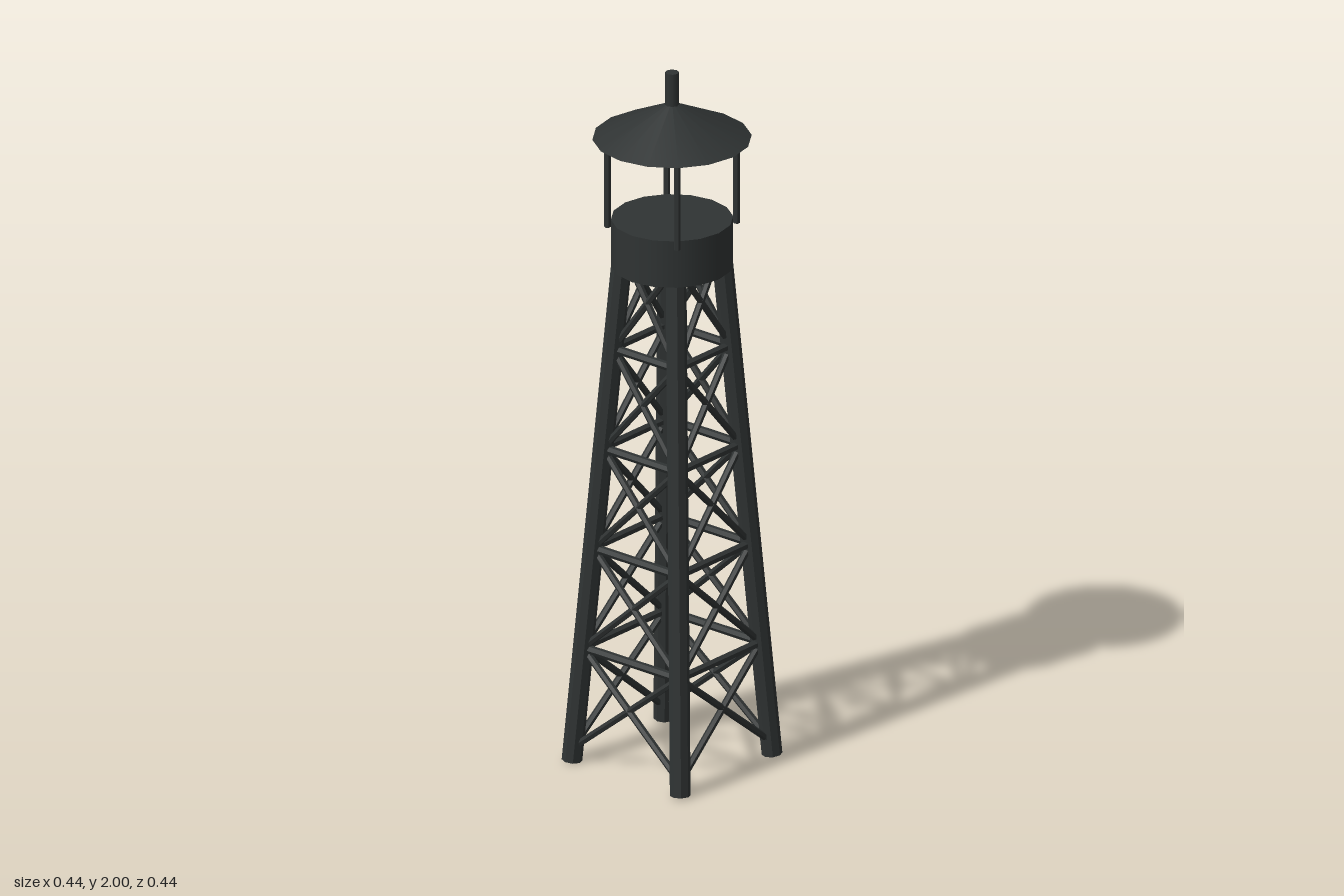
import * as THREE from 'three';

const smooth = new THREE.MeshStandardMaterial({ color: 0x2f3333 });
const faceted = new THREE.MeshStandardMaterial({ color: 0x2f3333, flatShading: true });
const UP = new THREE.Vector3(0, 1, 0);

// Round bar running between two points
function bar(name, a, b, radius, sides) {
  const dir = b.clone().sub(a);
  const mesh = new THREE.Mesh(new THREE.CylinderGeometry(radius, radius, dir.length(), sides), faceted);
  mesh.position.copy(a).add(b).multiplyScalar(0.5);
  mesh.quaternion.setFromUnitVectors(UP, dir.normalize());
  mesh.name = name;
  return mesh;
}

// Upright drum or cone between two heights
function drum(name, y0, y1, rBottom, rTop, sides) {
  const mesh = new THREE.Mesh(new THREE.CylinderGeometry(rTop, rBottom, y1 - y0, sides), smooth);
  mesh.position.y = (y0 + y1) / 2;
  mesh.name = name;
  return mesh;
}

// Corners in order around the tower; the legs lean inward with height
const corners = [[1, 1], [-1, 1], [-1, -1], [1, -1]];
const spread = (y) => 0.191 - 0.0655 * y;
const legPoint = (i, y) => {
  const [sx, sz] = corners[i % 4];
  return new THREE.Vector3(sx * spread(y), y, sz * spread(y));
};

export function createModel() {
  const tower = new THREE.Group();
  tower.name = 'watchTower';

  const firstLevel = 0.04, bay = 0.29, bays = 5;
  for (let i = 0; i < 4; i++) {
    tower.add(bar('leg', legPoint(i, 0.003), legPoint(i, 1.49), 0.028, 8));

    // Bracing of the face between this leg and the next
    const face = new THREE.Group();
    face.name = 'faceBracing';
    for (let n = 0; n < bays; n++) {
      const y0 = firstLevel + n * bay, y1 = y0 + bay;
      face.add(bar('diagonalBrace', legPoint(i, y0), legPoint(i + 1, y1), 0.01, 6));
      face.add(bar('diagonalBrace', legPoint(i + 1, y0), legPoint(i, y1), 0.01, 6));
      if (n > 0) face.add(bar('crossBar', legPoint(i, y0), legPoint(i + 1, y0), 0.012, 6));
    }
    tower.add(face);

    // Thin post carrying the roof
    const [sx, sz] = corners[i];
    const p = 0.123;
    tower.add(bar('roofPost', new THREE.Vector3(sx * p, 1.555, sz * p),
      new THREE.Vector3(sx * p, 1.825, sz * p), 0.009, 6));
  }

  tower.add(drum('platform', 1.44, 1.575, 0.165, 0.165, 16));
  tower.add(drum('roof', 1.81, 1.915, 0.215, 0, 16));
  tower.add(drum('spire', 1.88, 2, 0.019, 0.019, 8));
  return tower;
}
